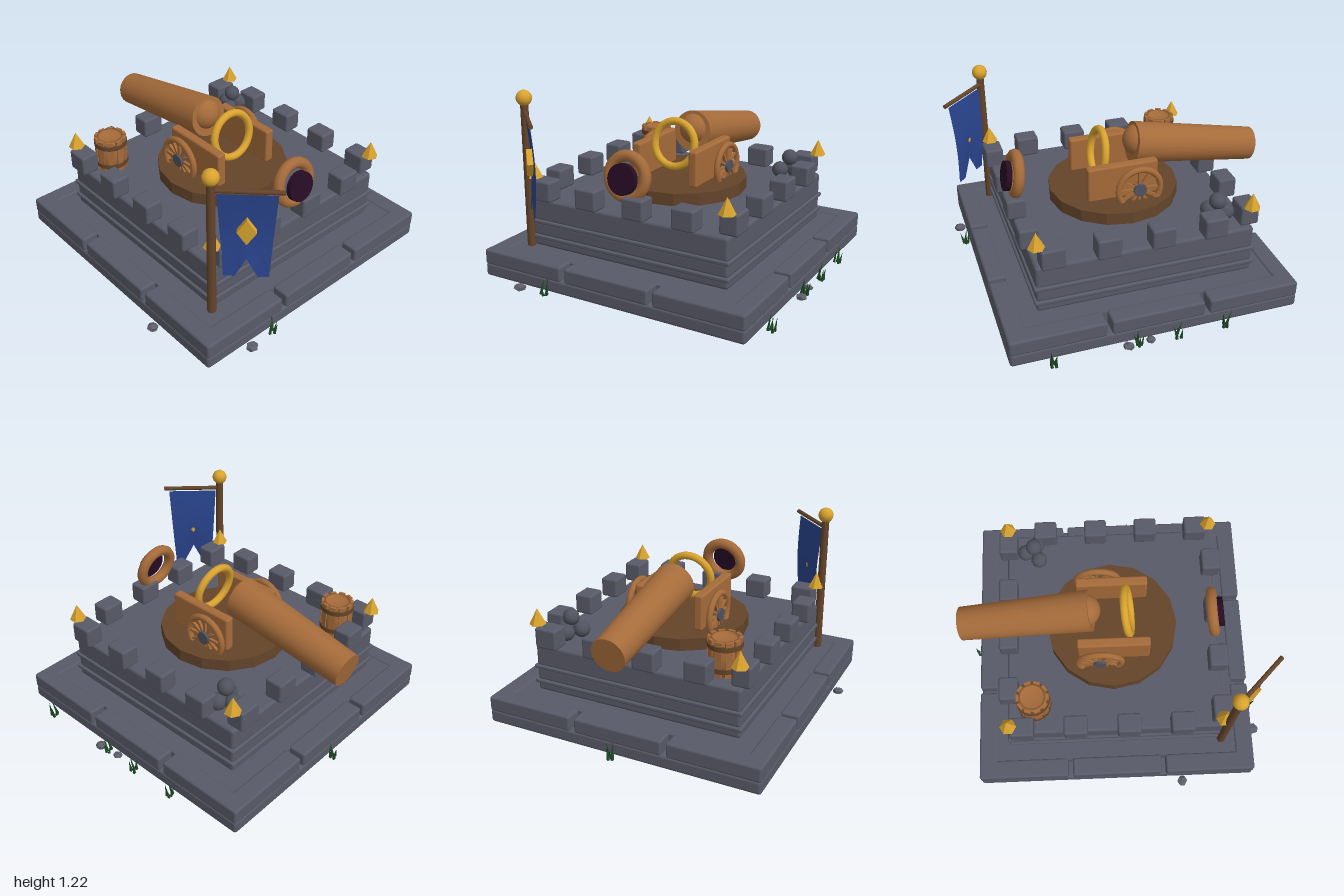
import * as THREE from 'three';
import { RoundedBoxGeometry } from 'three/addons/geometries/RoundedBoxGeometry.js';

const mat = (name, color, extra = {}) => {
  const m = new THREE.MeshStandardMaterial({ color, ...extra });
  m.name = name;
  return m;
};

export function createModel() {
  const stone = mat('stone', 0x585a68);
  const rock = mat('rock', 0x5c5e69, { flatShading: true });
  const iron = mat('iron', 0x50525e);
  const wood = mat('wood', 0xa56b3a);
  const darkWood = mat('dark wood', 0x64442a);
  const gold = mat('gold', 0xd9a32e);
  const goldFlat = mat('gold facets', 0xd9a32e, { flatShading: true });
  const blue = mat('blue cloth', 0x2a458f, { side: THREE.DoubleSide });
  const bore = mat('dark bore', 0x260c24);
  const green = mat('grass green', 0x1f4a26, { flatShading: true });

  const root = new THREE.Group();
  root.name = 'cannonTower';
  const C = -0.008; // centre of the stonework
  const TILT = -0.175; // cannon elevation

  const add = (name, geo, material, x = 0, y = 0, z = 0, parent = root) => {
    const m = new THREE.Mesh(geo, material);
    m.name = name;
    m.position.set(x, y, z);
    parent.add(m);
    return m;
  };
  const rbox = (w, h, d, r = 0.015) => new RoundedBoxGeometry(w, h, d, 2, r);

  // Foundation slab with a ring of large kerb blocks
  add('foundationSlab', rbox(1.842, 0.09, 1.842, 0.02), stone, C, 0.065, C);
  add('foundationCore', new THREE.BoxGeometry(1.62, 0.13, 1.62), stone, C, 0.125, C);
  for (let side = 0; side < 4; side++) {
    const g = new THREE.Group();
    g.name = 'kerbSide';
    g.position.set(C, 0, C);
    g.rotation.y = side * Math.PI / 2;
    root.add(g);
    for (let i = -1; i <= 1; i++)
      add('kerbBlock', rbox(0.592, 0.1, 0.12), stone, i * 0.624, 0.15, 0.861, g);
  }

  // Tower wall: three courses with thin bands between
  [[0.2, 0.262], [0.27, 0.362], [0.37, 0.52]].forEach(([a, b]) =>
    add('wallCourse', rbox(1.395, b - a, 1.395, 0.02), stone, C, (a + b) / 2, C));
  [0.264, 0.366].forEach(y =>
    add('wallBand', rbox(1.42, 0.028, 1.42, 0.01), stone, C, y, C));

  // Battlements
  for (let i = 0; i < 4; i++) {
    const a = -0.605 + i * 0.34, b = -0.436 + i * 0.34;
    add('merlonFront', rbox(0.15, 0.135, 0.122), stone, a, 0.587, 0.672);
    add('merlonBack', rbox(0.15, 0.135, 0.122), stone, b, 0.587, -0.688);
    add('merlonLeft', rbox(0.122, 0.135, 0.15), stone, 0.672, 0.587, b);
    add('merlonRight', rbox(0.122, 0.135, 0.15), stone, -0.69, 0.587, a);
  }

  // Gold corner spikes
  for (const x of [-0.688, 0.672]) for (const z of [-0.688, 0.672])
    add('cornerSpike', new THREE.ConeGeometry(0.053, 0.105, 6), goldFlat, x, 0.707, z);

  // Turntable
  const table = add('turntable', new THREE.CylinderGeometry(0.425, 0.425, 0.08, 16),
    mat('turntable wood', 0x64442a, { flatShading: true }), C, 0.56, C);
  table.material = darkWood;
  table.geometry = table.geometry.toNonIndexed();
  table.geometry.computeVertexNormals();

  // Carriage cheeks and spoked wheels
  for (const s of [-1, 1]) {
    add('carriageCheek', rbox(0.062, 0.235, 0.465), wood, C + s * 0.206, 0.717, -0.005);
    const wheel = new THREE.Group();
    wheel.name = 'wheel';
    wheel.position.set(C + s * 0.284, 0.672, -0.096);
    wheel.rotation.y = Math.PI / 2;
    root.add(wheel);
    add('wheelRim', new THREE.TorusGeometry(0.139, 0.021, 8, 28), wood, 0, 0, 0, wheel);
    const hub = add('wheelHub', new THREE.CylinderGeometry(0.043, 0.043, 0.05, 14), iron, 0, 0, 0, wheel);
    hub.rotation.x = Math.PI / 2;
    for (let k = 0; k < 12; k++) {
      const a = k * Math.PI / 6;
      const spoke = add('wheelSpoke', new THREE.BoxGeometry(0.1, 0.018, 0.018), wood,
        Math.cos(a) * 0.085, Math.sin(a) * 0.085, 0, wheel);
      spoke.rotation.z = a;
    }
  }

  // Cannon barrel, breech ball, gold hoop and muzzle ring
  const barrel = add('cannonBarrel', new THREE.CylinderGeometry(0.135, 0.11, 0.851, 24), wood, C, 0.784, -0.561);
  barrel.rotation.x = Math.PI / 2 + TILT;
  add('breechBall', new THREE.SphereGeometry(0.107, 20, 14), wood, C, 0.866, -0.187);
  const hoop = add('goldHoop', new THREE.TorusGeometry(0.147, 0.025, 10, 28), gold, C, 0.825, 0.09);
  hoop.rotation.x = TILT;
  const ring = add('muzzleRing', new THREE.TorusGeometry(0.126, 0.036, 10, 28), wood, C, 0.757, 0.642);
  ring.rotation.x = TILT;
  const plug = add('muzzleBore', new THREE.CylinderGeometry(0.096, 0.096, 0.035, 24), bore, C, 0.755, 0.694);
  plug.rotation.x = Math.PI / 2 + TILT;

  // Powder keg: bulging staves, hoops and inset lid
  const keg = new THREE.Group();
  keg.name = 'powderKeg';
  keg.position.set(-0.527, 0.52, -0.527);
  root.add(keg);
  const kegProfile = [[0, 0], [0.08, 0], [0.096, 0.06], [0.102, 0.115], [0.096, 0.17], [0.086, 0.225],
    [0.074, 0.225], [0.074, 0.205], [0, 0.205]].map(p => new THREE.Vector2(...p));
  add('kegBody', new THREE.LatheGeometry(kegProfile, 20), wood, 0, 0, 0, keg);
  for (const y of [0.045, 0.185])
    add('kegHoop', new THREE.CylinderGeometry(0.108, 0.108, 0.03, 20), darkWood, 0, y, 0, keg);
  for (let k = 0; k < 10; k++) {
    const a = k * Math.PI / 5;
    const stave = add('kegStave', new THREE.BoxGeometry(0.04, 0.225, 0.018), wood,
      Math.sin(a) * 0.094, 0.115, Math.cos(a) * 0.094, keg);
    stave.rotation.y = a;
  }

  // Stack of cannonballs
  [[0.484, 0.575, -0.484], [0.595, 0.575, -0.5], [0.54, 0.575, -0.575], [0.54, 0.66, -0.515]].forEach(p =>
    add('cannonball', new THREE.SphereGeometry(0.054, 14, 10), iron, ...p));

  // Flagpole with diagonal crossbar and hanging banner
  const flag = new THREE.Group();
  flag.name = 'flag';
  flag.position.set(-0.717, 0, 0.7);
  flag.rotation.y = -Math.PI / 4;
  root.add(flag);
  add('flagPole', new THREE.CylinderGeometry(0.025, 0.028, 0.94, 12), darkWood, 0, 0.67, 0, flag);
  add('poleFinial', new THREE.SphereGeometry(0.05, 16, 12), gold, 0, 1.165, 0, flag);
  const bar = add('crossbar', new THREE.CylinderGeometry(0.014, 0.014, 0.4, 10), darkWood, 0.2, 1.08, 0, flag);
  bar.rotation.z = Math.PI / 2;
  const cloth = new THREE.PlaneGeometry(2, 1, 8, 10);
  const pos = cloth.attributes.position;
  for (let i = 0; i < pos.count; i++) {
    const u = pos.getX(i), v = 0.5 - pos.getY(i);
    const length = 0.58 - 0.13 * Math.max(0, 1 - Math.abs(u) / 0.5); // swallowtail notch
    pos.setXYZ(i, 0.197 + u * (0.168 - 0.036 * v), 1.057 - v * length, -0.018 * Math.sin(v * Math.PI));
  }
  cloth.computeVertexNormals();
  add('banner', cloth, blue, 0, 0, 0, flag);
  const diamond = new THREE.Shape([[0, -0.085], [0.056, 0], [0, 0.085], [-0.056, 0]]
    .map(p => new THREE.Vector2(...p)));
  add('bannerDiamond', new THREE.ExtrudeGeometry(diamond, { depth: 0.036, bevelEnabled: false }),
    gold, 0.197, 0.81, -0.016, flag);

  // Grass tufts around the foundation
  [[-0.435, 0.94], [0.95, -0.43], [0.955, -0.115], [0.95, 0.135], [0.965, 0.665], [0.02, -0.955]]
    .forEach(([x, z], t) => {
      for (let k = 0; k < 4; k++) {
        const a = k * 1.7 + t, h = 0.075 + 0.014 * ((k + t) % 4);
        const blade = add('grassBlade', new THREE.ConeGeometry(0.011, h, 4), green,
          x + Math.cos(a) * 0.018, 0.008 + h / 2, z + Math.sin(a) * 0.022);
        blade.rotation.set(Math.sin(a) * 0.22, a, -Math.cos(a) * 0.22);
      }
    });

  // Loose stones
  [[-0.963, 0.436, 0.036], [-0.62, 0.95, 0.04], [0.948, 0.2, 0.036], [0.935, 0.055, 0.03]]
    .forEach(([x, z, r], i) => {
      const s = add('looseStone', new THREE.DodecahedronGeometry(r), rock, x, 0.022, z);
      s.scale.y = 0.6;
      s.rotation.y = i * 1.3;
    });

  return root;
}
